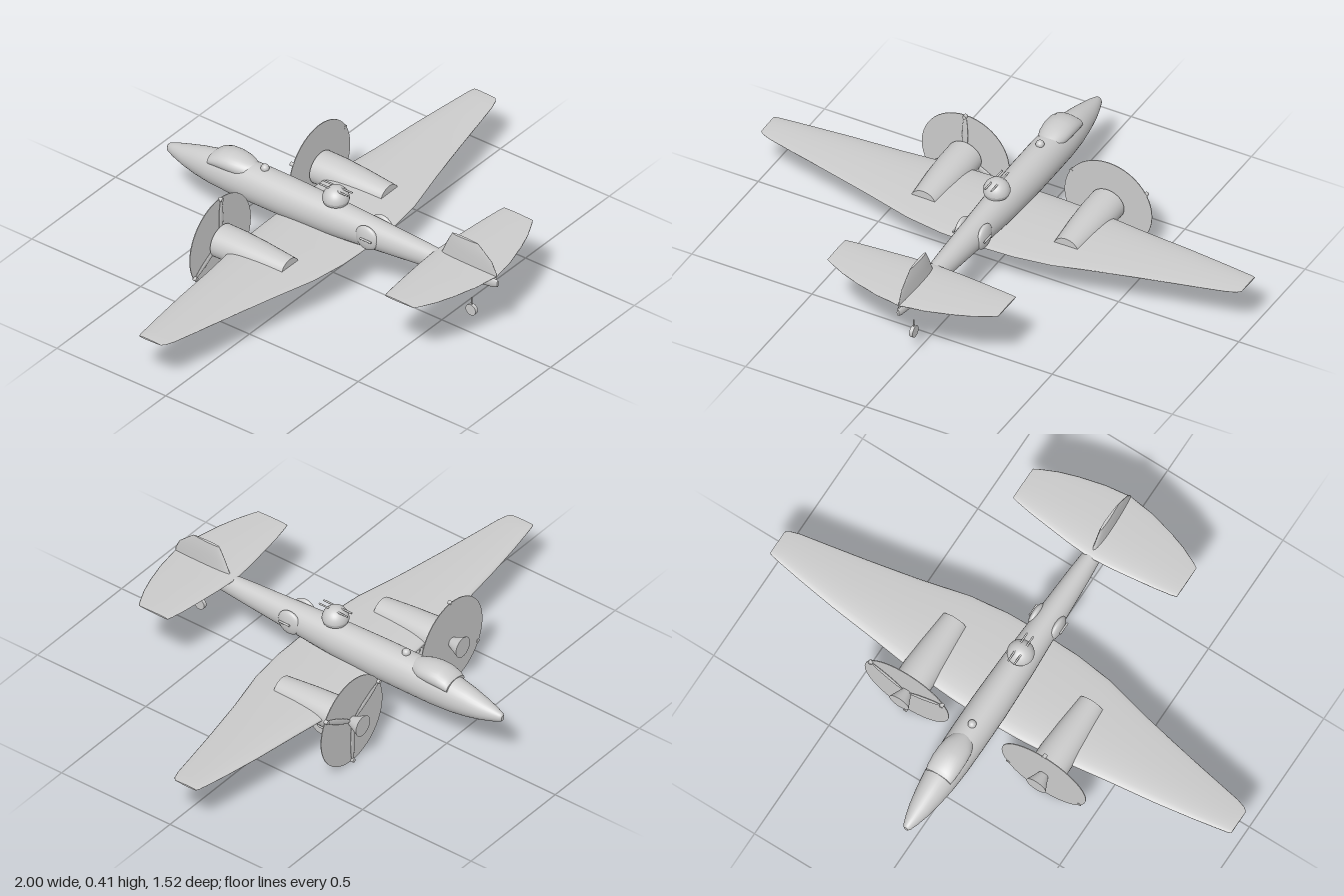
import * as THREE from 'three';

const mat = new THREE.MeshStandardMaterial({ color: 0xcccccc, side: THREE.DoubleSide });

function add(parent, name, geo, x = 0, y = 0, z = 0) {
  const m = new THREE.Mesh(geo, mat);
  m.name = name;
  m.position.set(x, y, z);
  parent.add(m);
  return m;
}

// Skin a list of equal-length rings and close both ends with flat fans
function loft(rings) {
  const n = rings[0].length, pos = [], idx = [];
  rings.forEach(r => r.forEach(p => pos.push(...p)));
  for (let i = 0; i < rings.length - 1; i++) {
    for (let j = 0; j < n; j++) {
      const k = (j + 1) % n, a = i * n + j, b = i * n + k;
      idx.push(a, b, a + n, b, b + n, a + n);
    }
  }
  [rings[0], rings[rings.length - 1]].forEach((r, end) => {
    const base = pos.length / 3;
    r.forEach(p => pos.push(...p));
    pos.push(...[0, 1, 2].map(c => r.reduce((s, p) => s + p[c], 0) / n));
    for (let j = 0; j < n; j++) {
      const k = (j + 1) % n;
      if (end) idx.push(base + n, base + j, base + k);
      else idx.push(base + n, base + k, base + j);
    }
  });
  const g = new THREE.BufferGeometry();
  g.setAttribute('position', new THREE.Float32BufferAttribute(pos, 3));
  g.setIndex(idx);
  g.computeVertexNormals();
  return g;
}

const ring = (n, f) => Array.from({ length: n }, (_, i) => f(i / n * Math.PI * 2));

// Elliptical body along z from rows of [z, bottom, top, halfWidth]
const body = rows => loft(rows.map(([z, b, t, w]) =>
  ring(32, a => [w * Math.cos(a), (b + t) / 2 + (t - b) / 2 * Math.sin(a), z])));

// Symmetric wing from half-span rows of [x, leadingZ, trailingZ, y, halfThickness]
function wing(half) {
  const rows = [...half.slice(1).reverse().map(([x, ...r]) => [-x, ...r]), ...half];
  return loft(rows.map(([x, le, te, y, t]) => ring(28, a => [
    x,
    y + t * Math.sin(a) * (1 + 0.45 * Math.cos(a)),
    (le + te) / 2 - (te - le) / 2 * Math.cos(a)])));
}

// Cylinder lying along z, or along x
const cylZ = (rBack, rFront, l, seg = 32) => new THREE.CylinderGeometry(rBack, rFront, l, seg).rotateX(Math.PI / 2);
const cylX = (r, l, seg = 28) => new THREE.CylinderGeometry(r, r, l, seg).rotateZ(Math.PI / 2);

function makeEngine(side) {
  const g = new THREE.Group();
  g.name = side > 0 ? 'leftEngine' : 'rightEngine';
  g.position.set(side * 0.297, 0.19, 0);

  // Tapered nacelle
  add(g, 'nacelle', body([
    [-0.283, -0.064, 0.064, 0.07], [-0.2, -0.063, 0.063, 0.07],
    [-0.1, -0.058, 0.057, 0.064], [0.03, -0.049, 0.046, 0.052]]));

  // Propeller: thin disc, flared hub and three tipped blades
  add(g, 'propellerDisc', cylZ(0.182, 0.182, 0.003, 48), 0, 0, -0.291);
  add(g, 'propellerHub', cylZ(0.017, 0.042, 0.056), 0, 0, -0.316);
  for (let i = 0; i < 3; i++) {
    const arm = new THREE.Group();
    arm.name = 'propellerBlade';
    arm.position.z = side > 0 ? -0.296 : -0.286;
    arm.rotation.z = i * Math.PI * 2 / 3 + (side > 0 ? Math.PI : 0);
    const blade = add(arm, 'blade', new THREE.SphereGeometry(1, 16, 10), 0, 0.095, 0);
    blade.scale.set(0.012, 0.085, 0.004);
    add(arm, 'bladeTip', cylZ(0.008, 0.008, 0.016, 12), 0, 0.178, 0);
    g.add(arm);
  }

  // Main landing wheel tucked beneath the nacelle
  add(g, 'mainWheel', cylX(0.047, 0.026), -side * 0.013, -0.08, -0.15);
  add(g, 'wheelHub', cylX(0.018, 0.034), -side * 0.013, -0.08, -0.15);
  add(g, 'wheelStrut', new THREE.CylinderGeometry(0.007, 0.007, 0.07, 12), -side * 0.013, -0.04, -0.15);
  return g;
}

export function createModel() {
  const plane = new THREE.Group();
  plane.name = 'aeroplane';

  // Fuselage, nose towards -z
  add(plane, 'fuselage', body([
    [-0.758, 0.23, 0.252, 0.008], [-0.75, 0.224, 0.261, 0.016], [-0.72, 0.214, 0.272, 0.027],
    [-0.67, 0.2, 0.286, 0.041], [-0.61, 0.187, 0.303, 0.052], [-0.54, 0.178, 0.318, 0.062],
    [-0.45, 0.174, 0.326, 0.068], [-0.35, 0.174, 0.331, 0.07], [-0.2, 0.174, 0.33, 0.07],
    [0, 0.18, 0.326, 0.064], [0.2, 0.197, 0.318, 0.053], [0.4, 0.216, 0.309, 0.042],
    [0.55, 0.229, 0.302, 0.03], [0.68, 0.242, 0.296, 0.018], [0.74, 0.25, 0.292, 0.011],
    [0.757, 0.258, 0.285, 0.005]]));

  // Cockpit canopy
  add(plane, 'canopy', body([
    [-0.54, 0.27, 0.32, 0.053], [-0.525, 0.27, 0.333, 0.057], [-0.49, 0.27, 0.348, 0.06],
    [-0.45, 0.27, 0.351, 0.06], [-0.41, 0.27, 0.346, 0.056], [-0.375, 0.27, 0.336, 0.045],
    [-0.355, 0.27, 0.328, 0.025]]));

  // Main wing and tailplane
  add(plane, 'wing', wing([
    [0, -0.232, 0.168, 0.187, 0.02], [0.15, -0.228, 0.164, 0.189, 0.019],
    [0.3, -0.218, 0.145, 0.192, 0.018], [0.5, -0.192, 0.095, 0.197, 0.015],
    [0.7, -0.17, 0.052, 0.204, 0.012], [0.85, -0.149, 0.022, 0.21, 0.009],
    [0.95, -0.133, 0.002, 0.215, 0.007], [0.985, -0.127, -0.01, 0.217, 0.005],
    [1, -0.122, -0.022, 0.218, 0.003]]));
  add(plane, 'tailplane', wing([
    [0, 0.47, 0.752, 0.3, 0.012], [0.1, 0.477, 0.738, 0.302, 0.011],
    [0.2, 0.488, 0.712, 0.305, 0.009], [0.27, 0.496, 0.688, 0.307, 0.007],
    [0.335, 0.506, 0.657, 0.31, 0.005], [0.355, 0.511, 0.645, 0.311, 0.003]]));

  // Vertical fin, stacked upwards from rows of [y, frontZ, backZ, halfThickness]
  add(plane, 'fin', loft([
    [0.28, 0.48, 0.753, 0.014], [0.315, 0.503, 0.751, 0.013], [0.355, 0.52, 0.732, 0.011],
    [0.385, 0.535, 0.698, 0.009], [0.41, 0.548, 0.668, 0.005]
  ].map(([y, f, b, t]) => ring(24, a => [
    t * Math.sin(a) * (1 - 0.4 * Math.cos(a)), y, (f + b) / 2 + (b - f) / 2 * Math.cos(a)]))));

  // Dorsal turret with twin guns, and small sighting dome
  const turret = new THREE.Group();
  turret.name = 'dorsalTurret';
  turret.position.set(0, 0.338, 0.013);
  add(turret, 'turretDome', new THREE.SphereGeometry(0.051, 28, 12, 0, Math.PI * 2, 0, Math.PI / 2));
  add(turret, 'turretBase', new THREE.CylinderGeometry(0.051, 0.046, 0.014, 28), 0, -0.007, 0);
  for (const s of [-1, 1]) add(turret, 'turretGun', cylZ(0.0035, 0.0035, 0.13, 10), s * 0.013, 0.043, 0);
  plane.add(turret);
  add(plane, 'sightingDome', new THREE.SphereGeometry(0.016, 20, 14), 0, 0.334, -0.313);

  for (const s of [-1, 1]) {
    // Side gun blister
    const blister = add(plane, 'sideBlister', new THREE.SphereGeometry(1, 28, 16), s * 0.046, 0.262, 0.19);
    blister.scale.set(0.018, 0.05, 0.05);
    add(plane, 'sideGun', cylZ(0.004, 0.004, 0.05, 10), s * 0.066, 0.264, 0.2);
    plane.add(makeEngine(s));
  }

  // Tail wheel with its short stem
  add(plane, 'tailWheel', cylX(0.023, 0.014), 0, 0.109, 0.637);
  add(plane, 'tailWheelStem', new THREE.CylinderGeometry(0.003, 0.003, 0.05, 10), 0, 0.135, 0.637);
  return plane;
}
